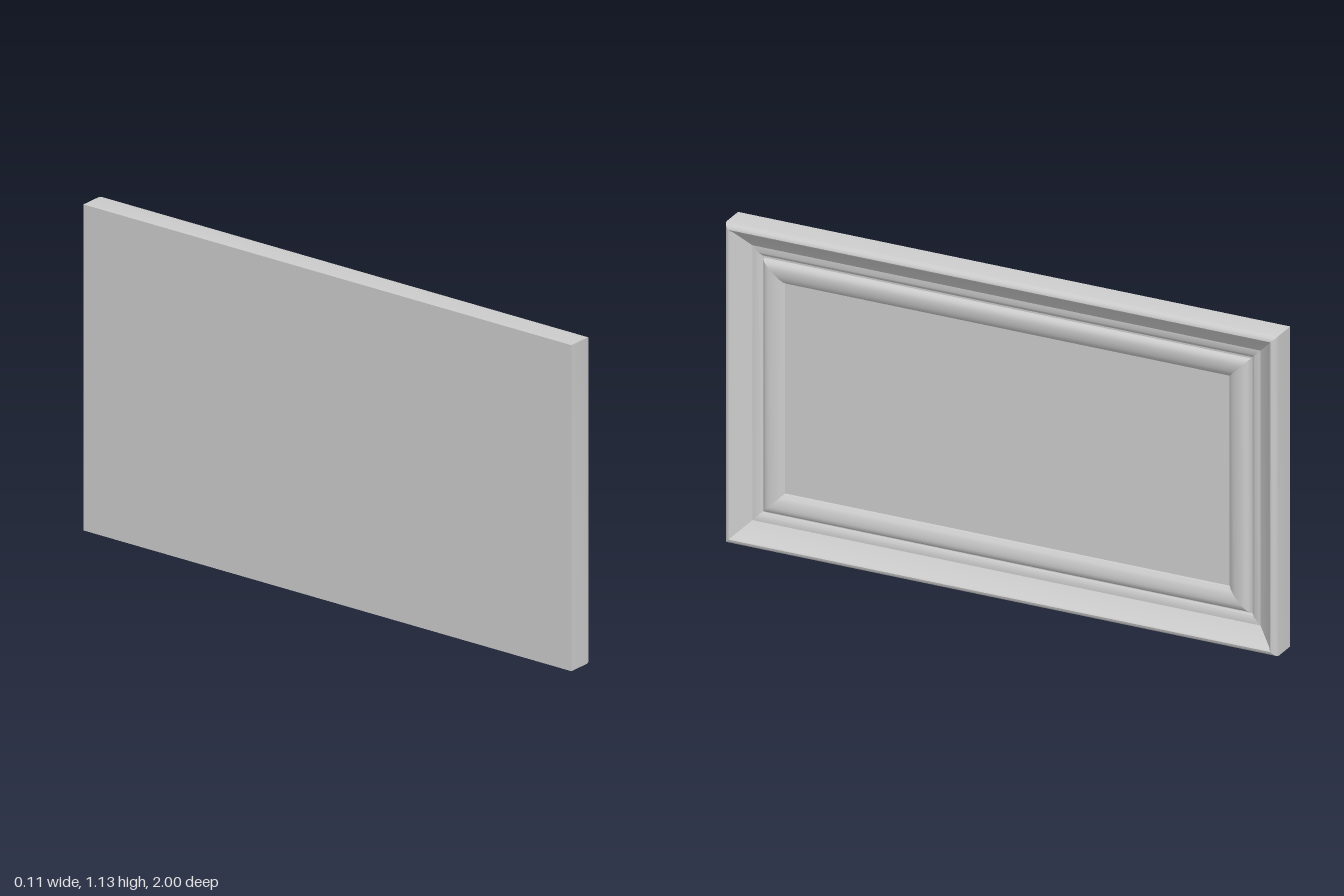
import * as THREE from 'three';
import { mergeGeometries, toCreasedNormals } from 'three/addons/utils/BufferGeometryUtils.js';

const H = 1.135, W = 2, BACK = -0.053, PANEL = -0.005;

// Moulding profiles: [inset from the outer edge, depth x], from outside to inside
const rimProfile = [
  [0, BACK], [0, 0.03], [0.002, 0.039], [0.007, 0.047], [0.013, 0.051], [0.018, 0.052],
  [0.023, 0.049], [0.026, 0.043], [0.08, 0.002],
];
const stepProfile = [[0.08, 0.002], [0.1, 0.002], [0.106, -0.001], [0.113, -0.007], [0.119, -0.007]];
const beadProfile = [
  [0.119, -0.007], [0.12, 0.002], [0.125, 0.009], [0.133, 0.014], [0.143, 0.016],
  [0.157, 0.015], [0.17, 0.012], [0.182, 0.007], [0.19, 0.001], [0.195, PANEL],
];

// Corners of the rectangle at a given inset, counter-clockwise seen from +x
function corners([d, x]) {
  const z = W / 2 - d;
  return [[x, d, z], [x, d, -z], [x, H - d, -z], [x, H - d, z]];
}

// Sweep a profile round the rectangle with mitred corners; each side is creased on its own
function mouldingGeometry(profile) {
  const sides = [];
  for (let s = 0; s < 4; s++) {
    const e = (s + 1) % 4, pos = [];
    for (let i = 0; i + 1 < profile.length; i++) {
      const o = corners(profile[i]), n = corners(profile[i + 1]);
      pos.push(...o[s], ...o[e], ...n[e], ...o[s], ...n[e], ...n[s]);
    }
    const g = new THREE.BufferGeometry();
    g.setAttribute('position', new THREE.Float32BufferAttribute(pos, 3));
    sides.push(toCreasedNormals(g, 0.6));
  }
  return mergeGeometries(sides);
}

// Flat rectangle facing +x (dir 1) or -x (dir -1)
function sheetGeometry(inset, x, dir) {
  return new THREE.PlaneGeometry(W - 2 * inset, H - 2 * inset)
    .rotateY(dir * Math.PI / 2)
    .translate(x, H / 2, 0);
}

export function createModel() {
  const group = new THREE.Group();
  const material = new THREE.MeshStandardMaterial({ color: 0xcccccc });
  const add = (name, geometry) => {
    const mesh = new THREE.Mesh(geometry, material);
    mesh.name = name;
    group.add(mesh);
  };

  add('outerFrame', mouldingGeometry(rimProfile));
  add('innerStep', mouldingGeometry(stepProfile));
  add('beadMoulding', mouldingGeometry(beadProfile));
  add('centrePanel', sheetGeometry(0.195, PANEL, 1));
  add('backBoard', sheetGeometry(0, BACK, -1));
  return group;
}
